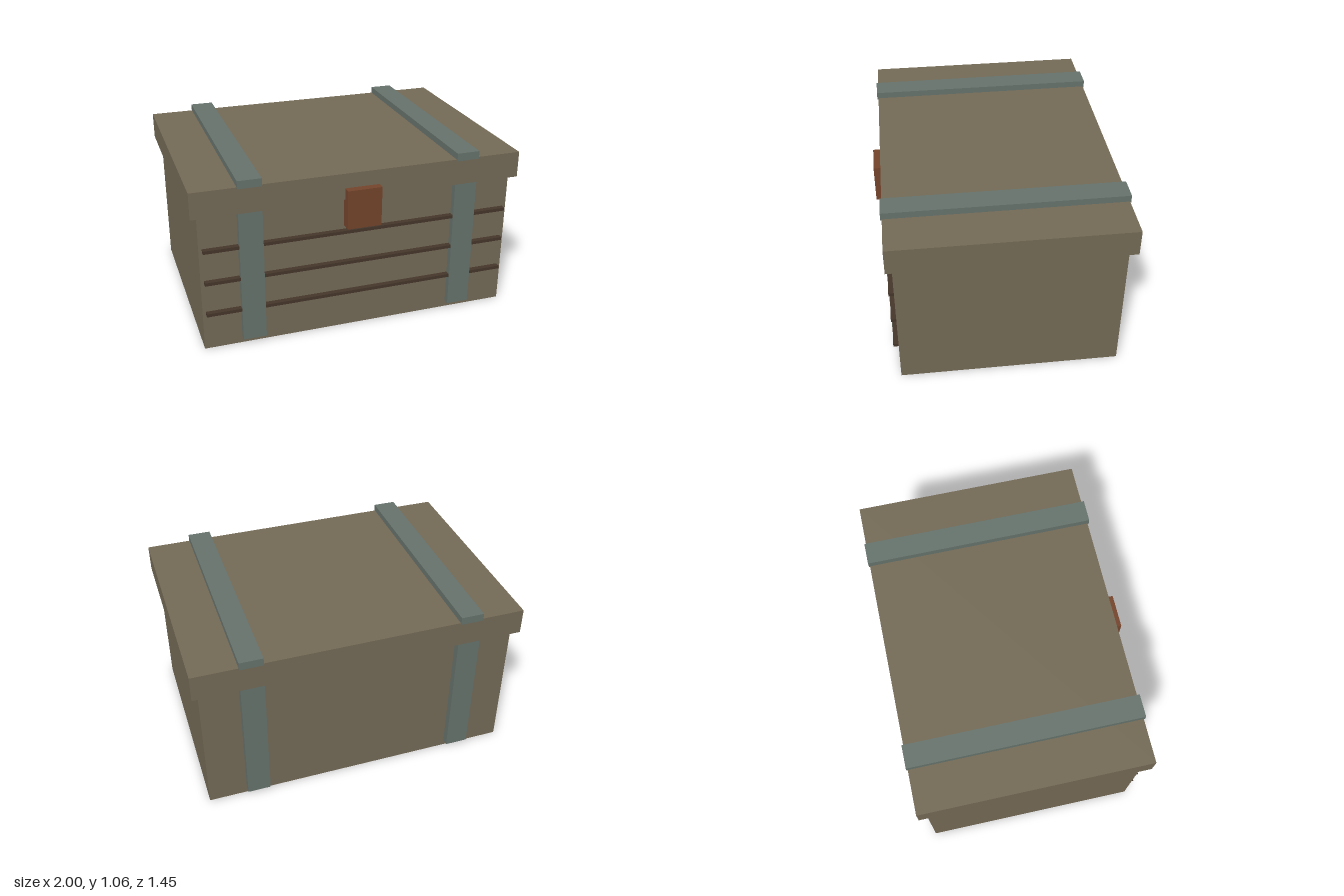
import * as THREE from 'three';

export function createModel() {
  const crate = new THREE.Group();
  crate.name = 'crate';

  const material = (name, color) => {
    const m = new THREE.MeshStandardMaterial({ color });
    m.name = name;
    return m;
  };
  const wood = material('wood', 0x736955);
  const metal = material('metal', 0x66726c);
  const rust = material('rust', 0x74442c);
  const darkWood = material('darkWood', 0x45362a);

  // Box given by its lower and upper limits on each axis
  const box = (name, mat, [x0, x1], [y0, y1], [z0, z1]) => {
    const mesh = new THREE.Mesh(new THREE.BoxGeometry(x1 - x0, y1 - y0, z1 - z0), mat);
    mesh.position.set((x0 + x1) / 2, (y0 + y1) / 2, (z0 + z1) / 2);
    mesh.name = name;
    crate.add(mesh);
  };

  // Body and overhanging lid
  box('body', wood, [-0.96, 0.96], [0, 0.86], [-0.677, 0.643]);
  box('lid', wood, [-1, 1], [0.86, 1.02], [-0.72, 0.68]);

  // Metal straps on the front, back and top of each side
  for (const [side, x] of [['right', -0.663], ['left', 0.657]]) {
    const width = [x - 0.07, x + 0.07];
    box(side + 'FrontStrap', metal, width, [0.04, 0.86], [0.635, 0.68]);
    box(side + 'BackStrap', metal, width, [0.04, 0.86], [-0.72, -0.67]);
    box(side + 'TopStrap', metal, width, [1.012, 1.06], [-0.727, 0.688]);
  }

  // Thin dark battens across the front
  [0.24, 0.444, 0.647].forEach((y, i) => {
    box('batten' + (i + 1), darkWood, [-0.94, 0.937], [y - 0.01, y + 0.01], [0.635, 0.675]);
  });

  // Latch
  box('latch', rust, [-0.106, 0.102], [0.69, 0.93], [0.657, 0.727]);

  return crate;
}
